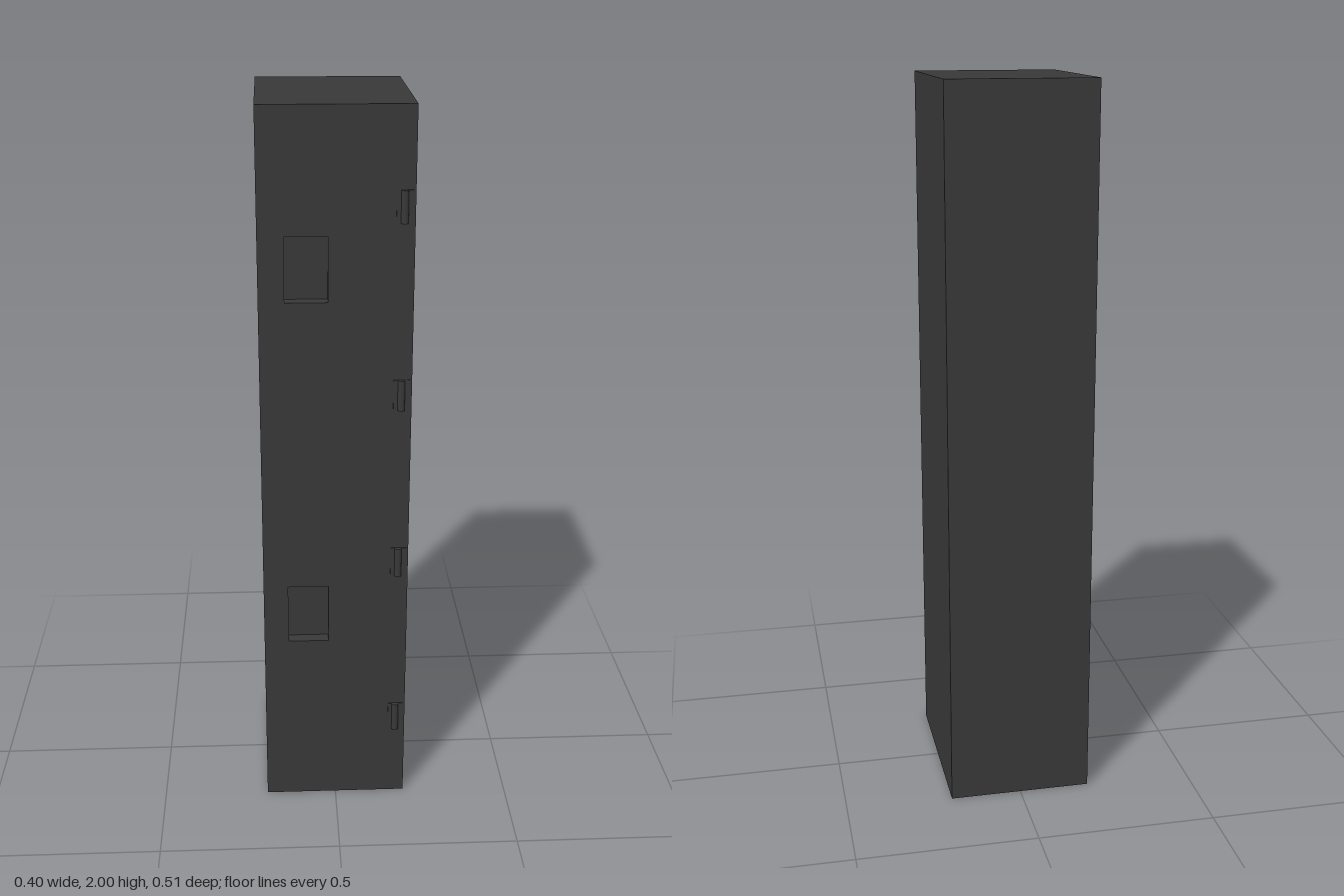
import * as THREE from 'three';

const W = 0.4, H = 2, BACK = -0.257, FRONT = 0.244, RECESS = 0.035;

export function createModel() {
  const group = new THREE.Group();
  const paint = new THREE.MeshStandardMaterial({ color: 0x383838 });

  const add = (name, geometry, x, y, z) => {
    const mesh = new THREE.Mesh(geometry, paint);
    mesh.name = name;
    mesh.position.set(x, y, z);
    group.add(mesh);
    return mesh;
  };

  // Cabinet body behind the front panel
  const bodyDepth = FRONT - RECESS - BACK;
  add('cabinetBody', new THREE.BoxGeometry(W, H, bodyDepth), 0, H / 2, BACK + bodyDepth / 2);

  // Front panel with two rectangular handle recesses
  const rectangle = (path, x0, y0, x1, y1) => {
    path.moveTo(x0, y0);
    path.lineTo(x1, y0);
    path.lineTo(x1, y1);
    path.lineTo(x0, y1);
    path.closePath();
    return path;
  };
  const panel = rectangle(new THREE.Shape(), -W / 2, 0, W / 2, H);
  for (const y of [0.512, 1.502]) {
    panel.holes.push(rectangle(new THREE.Path(), -0.132, y, -0.02, y + 0.172));
  }
  add('frontPanel', new THREE.ExtrudeGeometry(panel, { depth: RECESS, bevelEnabled: false }),
    0, 0, FRONT - RECESS);

  // Four hinges: a thin leaf plate with a round barrel
  for (const y of [0.258, 0.758, 1.248, 1.748]) {
    add('hingeLeaf', new THREE.BoxGeometry(0.043, 0.084, 0.006), 0.173, y, FRONT);
    add('hingeBarrel', new THREE.CylinderGeometry(0.0095, 0.0095, 0.084, 20), 0.172, y, FRONT + 0.003);
  }

  return group;
}
